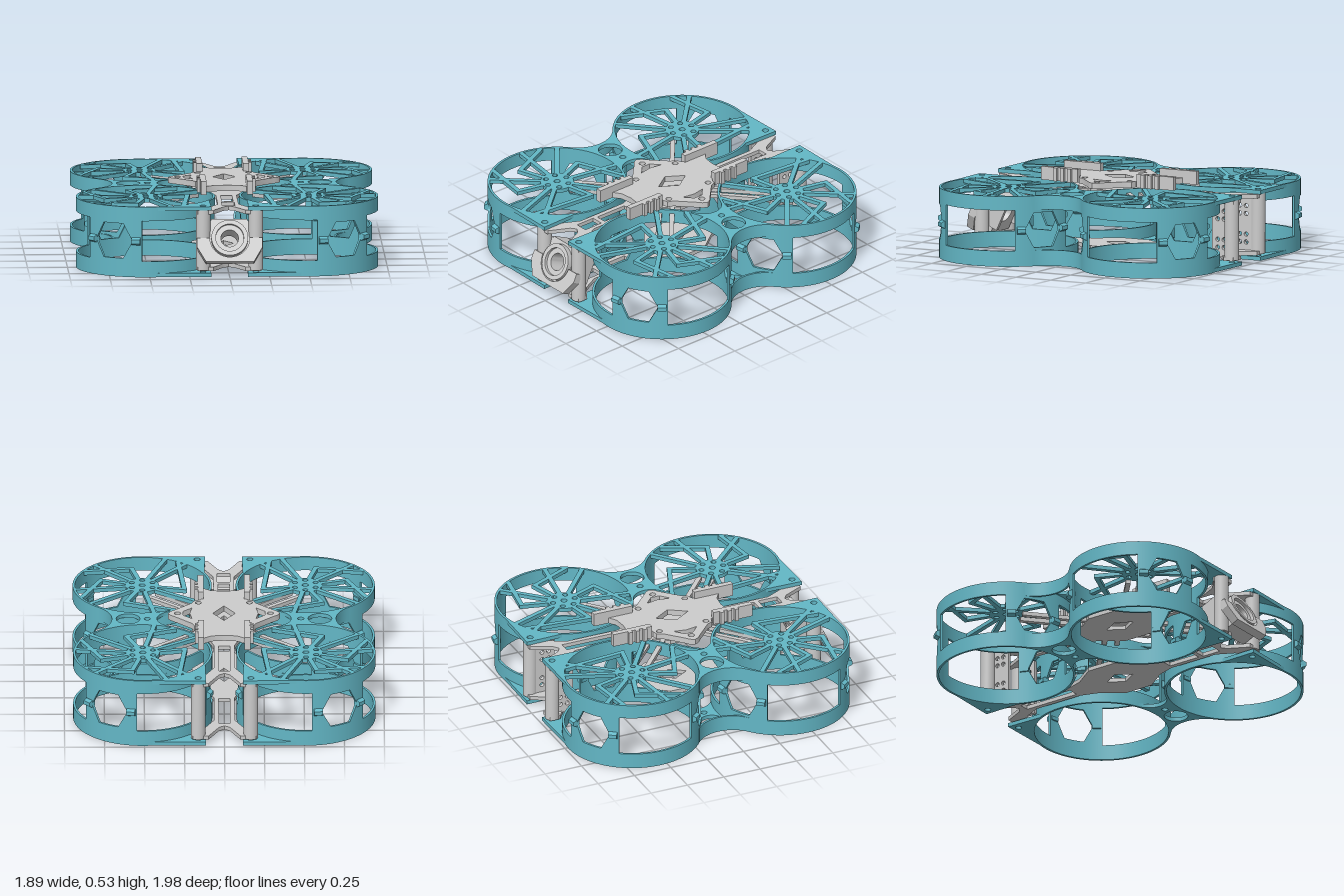
import * as THREE from 'three';
import { mergeGeometries, toCreasedNormals } from 'three/addons/utils/BufferGeometryUtils.js';

const R = 0.435, C = 0.51, MID = 0.2275, TOP = 0.445, T = 0.025;
const rad = d => d * Math.PI / 180;
const teal = new THREE.MeshStandardMaterial({ color: 0x63b7c6 });
const grey = new THREE.MeshStandardMaterial({ color: 0xcccccc });

// points of a circular arc, angles in degrees
const arc = (cx, cy, r, a0, a1, n = 20) => Array.from({ length: n + 1 }, (_, i) => {
  const a = rad(a0 + (a1 - a0) * i / n);
  return [cx + r * Math.cos(a), cy + r * Math.sin(a)];
});
const circle = (x, y, r) => arc(x, y, r, 0, 342, 19);
const rect = (x0, y0, x1, y1) => [[x0, y0], [x1, y0], [x1, y1], [x0, y1]];
const vec = pts => pts.map(p => new THREE.Vector2(...p));

function extrude(pts, holes, depth) {
  const shape = new THREE.Shape(vec(pts));
  for (const h of holes) shape.holes.push(new THREE.Path(vec(h)));
  return new THREE.ExtrudeGeometry(shape, { depth, bevelEnabled: false });
}
// horizontal plate drawn in (x, z)
const slab = (pts, holes, top, thick) => extrude(pts, holes, thick).rotateX(Math.PI / 2).translate(0, top, 0);

// horizontal bar between two (x, z) points
function bar(a, b, w, top, thick) {
  const dx = b[0] - a[0], dz = b[1] - a[1];
  return new THREE.BoxGeometry(Math.hypot(dx, dz) + w * 0.8, thick, w)
    .rotateY(-Math.atan2(dz, dx)).translate((a[0] + b[0]) / 2, top - thick / 2, (a[1] + b[1]) / 2);
}
const box = (w, h, d, x, y, z) => new THREE.BoxGeometry(w, h, d).translate(x, y, z);
const tube = (r, h, x, y, z) => new THREE.CylinderGeometry(r, r, h, 24).translate(x, y, z);

// curved wall: each section is [angle, low, high]
function wall(cx, cz, r, thick, sections) {
  const pos = [], idx = [];
  for (const [d, lo, hi] of sections) {
    const c = Math.cos(rad(d)), s = Math.sin(rad(d));
    for (const [q, y] of [[r, lo], [r, hi], [r - thick, hi], [r - thick, lo]]) pos.push(cx + q * c, y, cz + q * s);
  }
  for (let i = 0; i < sections.length - 1; i++) for (let k = 0; k < 4; k++) {
    const a = i * 4 + k, b = i * 4 + (k + 1) % 4;
    idx.push(a, b, b + 4, a, b + 4, a + 4);
  }
  const e = (sections.length - 1) * 4;
  idx.push(0, 2, 1, 0, 3, 2, e, e + 1, e + 2, e, e + 2, e + 3);
  const g = new THREE.BufferGeometry();
  g.setAttribute('position', new THREE.Float32BufferAttribute(pos, 3));
  g.setIndex(idx);
  return g;
}

// merge pieces, mirror them if asked and keep hard edges
function join(pieces, sx = 1, sz = 1) {
  const g = mergeGeometries(pieces.map(p => {
    const q = p.index ? p.toNonIndexed() : p.clone();
    for (const n of Object.keys(q.attributes)) if (n !== 'position') q.deleteAttribute(n);
    return q;
  }));
  g.scale(sx, 1, sz);
  if (sx * sz < 0) {
    const p = g.attributes.position.array;
    for (let i = 0; i < p.length; i += 9) for (let k = 3; k < 6; k++) [p[i + k], p[i + k + 3]] = [p[i + k + 3], p[i + k]];
  }
  return toCreasedNormals(g, rad(30));
}

// half height of the opening, by angle from a panel centre: hexagon, solid, window
function opening(a, side) {
  a = Math.abs(a);
  if (a < 9) return 0.11;
  if (a < 17) return 0.11 * (17 - a) / 8;
  return a < 25 || (a === 25 && side) ? 0 : 0.128;
}

function ductWalls() {
  const low = [], high = [];
  const add = (d, h) => { low.push([d, 0, MID - h]); high.push([d, MID + h, TOP]); };
  for (const centre of [60, 180, 300]) for (let a = -60; a <= 60; a++) {
    if (a === -25) add(centre + a, opening(a, false));
    add(centre + a, opening(a, Math.abs(a) === 25));
    if (a === 25) add(centre + a, opening(a, false));
  }
  return [wall(C, C, R, 0.015, low), wall(C, C, R, 0.015, high)];
}

function clips() {
  const out = [];
  for (const centre of [60, 180, 300]) for (const s of [-20, 20]) {
    const a = rad(centre + s), r = R + 0.002;
    out.push(new THREE.CylinderGeometry(0.027, 0.027, 0.055, 6).rotateX(Math.PI / 2).scale(1, 0.9, 1)
      .rotateY(-a).translate(C + r * Math.cos(a), MID, C + r * Math.sin(a)));
  }
  return out;
}

// hub with screw holes, straight spokes and bent ribs
function motorMount() {
  const at = (d, r) => [C + r * Math.cos(rad(d + 180)), C + r * Math.sin(rad(d + 180))];
  const holes = [0, 1, 2, 3, 4, 5].map(i => circle(...at(30 + i * 60, 0.075), 0.017));
  holes.push(circle(C, C, 0.02));
  const out = [slab(arc(C, C, 0.105, 0, 350, 35), holes, TOP, T)];
  for (const d of [-50, 35, 80, 140, 172, 226, 290]) out.push(bar(at(d, 0.1), at(d, R - 0.02), 0.03, TOP, T));
  for (const [elbow, end] of [[12, -57], [198, 155], [112, 62], [256, 212]]) {
    out.push(bar(at(elbow, 0.1), at(elbow, 0.27), 0.03, TOP, T));
    out.push(bar(at(elbow, 0.27), at(end, R - 0.02), 0.03, TOP, T));
  }
  return out;
}

const cornerPlate = top => slab([...arc(C, C, R - 0.005, 155, 90), [0.115, 0.945]], [circle(0.165, 0.9, 0.02)], top, T);

// web joining the front and rear ducts on one side
const sideWeb = top => slab([
  ...arc(0.919, 0, 0.219, 128.7, 231.3), ...arc(C, -C, R - 0.005, 51.3, 111.8),
  ...arc(0.306, 0, 0.114, -68, 68), ...arc(C, C, R - 0.005, 248.2, 308.7),
], [circle(0.6, 0, 0.075), circle(0.48, 0, 0.02)], top, T);

// mirror an outline given for the quarter x > 0, z > 0, from x axis to z axis
function fourfold(q) {
  const flip = (sx, sz) => q.map(([x, z]) => [x * sx, z * sz]);
  return [...q, ...flip(-1, 1).reverse(), ...flip(-1, -1), ...flip(1, -1).reverse()]
    .filter((p, i, l) => { const n = l[(i + 1) % l.length]; return Math.hypot(p[0] - n[0], p[1] - n[1]) > 1e-6; });
}
const corners = (x, z) => [[x, z], [-x, z], [x, -z], [-x, -z]];

// long spine plate with slots
const spine = top => slab(
  fourfold([[0.2, 0], [0.2, 0.1], [0.1, 0.24], [0.065, 0.35], [0.065, 0.69], [0.12, 0.8], [0.2, 0.86], [0.2, 0.93], [0.1, 0.93], [0.035, 0.8], [0, 0.775]]),
  [rect(-0.035, 0.36, 0.035, 0.58), rect(-0.04, 0.61, 0.04, 0.74), rect(-0.035, -0.74, 0.035, -0.36),
    [[0.06, 0], [0, 0.1], [-0.06, 0], [0, -0.1]]], top, T);

export function createModel() {
  const model = new THREE.Group();
  const frame = new THREE.Group();
  frame.name = 'frame';
  frame.position.z = -0.035;
  model.add(frame);
  const add = (name, pieces, mat, parent = frame, sx = 1, sz = 1) => {
    const m = new THREE.Mesh(join(pieces, sx, sz), mat);
    m.name = name;
    parent.add(m);
    return m;
  };

  // four ducts
  for (const [sx, sz] of corners(1, 1)) {
    const duct = new THREE.Group();
    duct.name = (sz > 0 ? 'front' : 'rear') + (sx > 0 ? 'Left' : 'Right') + 'Duct';
    frame.add(duct);
    add('ductWall', ductWalls(), teal, duct, sx, sz);
    add('panelClips', clips(), teal, duct, sx, sz);
    add('motorMount', motorMount(), teal, duct, sx, sz);
    add('cornerPlates', [cornerPlate(TOP), cornerPlate(T)], teal, duct, sx, sz);
    add('diagonalStruts', [bar([0.12, 0.2], [0.41, 0.46], 0.03, 0.42, T), bar([0.17, 0.14], [0.47, 0.4], 0.03, 0.42, T)], grey, duct, sx, sz);
  }

  // side webs with their concave outer walls
  for (const s of [1, -1]) {
    const section = (lo, hi) => arc(0, 0, 1, 128.7, 231.3).map((_, i) => [128.7 + i * 102.6 / 20, lo, hi]);
    add(s > 0 ? 'leftWeb' : 'rightWeb', [sideWeb(TOP), sideWeb(T),
      wall(0.919, 0, 0.232, 0.014, section(0, 0.1)), wall(0.919, 0, 0.232, 0.014, section(0.355, TOP))], teal, frame, s);
  }

  // spine plates
  add('upperSpine', [spine(0.42)], grey);
  add('lowerSpine', [spine(0.06)], grey);

  // raised deck
  add('deck', [slab(
    fourfold([[0.35, 0], [0.335, 0.03], [0.31, 0.05], [0.2, 0.155], [0.185, 0.19], [0.15, 0.2], [0.13, 0.23], [0.13, 0.38], [0.08, 0.345], [0, 0.335]]),
    [...corners(0.16, 0.16).map(p => circle(...p, 0.019)), circle(0.29, 0, 0.02), circle(-0.29, 0, 0.02),
      ...[1, -1].map(s => [[0.2 * s, 0.08], [0.255 * s, 0.03], [0.255 * s, -0.03], [0.2 * s, -0.08], [0.215 * s, 0]]),
      [[0.07, 0], [0, 0.11], [-0.07, 0], [0, -0.11]]], 0.482, 0.037)], grey);
  for (const [x, z] of corners(0.145, 0.345)) {
    const ridges = [-0.08, -0.03, 0.02].map(d => box(0.025, 0.085, 0.025, x + Math.sign(x) * 0.025, 0.4875, z + d * Math.sign(z)));
    add('strapRail', [box(0.036, 0.085, 0.265, x, 0.4875, z), ...ridges], grey);
  }

  // standoff columns and rear side brackets
  for (const [x, z] of corners(0.165, 0.9)) add('column', [tube(0.045, 0.38, x, 0.23, z)], grey);
  for (const s of [1, -1]) {
    const holes = [0.11, 0.16, 0.29, 0.34].flatMap(y => [circle(0.79, y, 0.014), circle(0.835, y, 0.014)]);
    add('rearBracket', [extrude(rect(0.75, 0.05, 0.9, 0.41), holes, 0.025)
      .rotateY(Math.PI / 2).translate(s * 0.14 - 0.0125, 0, 0)], grey);
  }

  // camera mount, tilted upwards
  const cam = new THREE.Group();
  cam.name = 'cameraMount';
  cam.position.set(0, MID, 0.87);
  cam.rotation.x = -0.44;
  model.add(cam);
  add('chinPlate', [extrude([[0.205, 0.0], [0.205, -0.06], [0.15, -0.155], [-0.15, -0.155], [-0.205, -0.06], [-0.205, 0], ...arc(0, 0, 0.125, 180, 360)], [], 0.05)], grey, cam);
  add('cameraHousing', [extrude(rect(-0.115, -0.125, 0.115, 0.13), [circle(0, 0, 0.07)], 0.12).translate(0, 0, -0.1)], grey, cam);
  const ring = [[0.055, -0.1], [0.09, -0.1], [0.115, 0.0], [0.115, 0.055], [0.088, 0.055], [0.088, 0.035], [0.055, 0.035], [0.055, -0.1]];
  add('lensRing', [new THREE.LatheGeometry(vec(ring), 40).rotateX(Math.PI / 2)], grey, cam);
  for (const s of [1, -1]) add('cameraArm', [box(0.025, 0.2, 0.16, s * 0.125, 0.02, -0.06)], grey, cam);

  return model;
}
